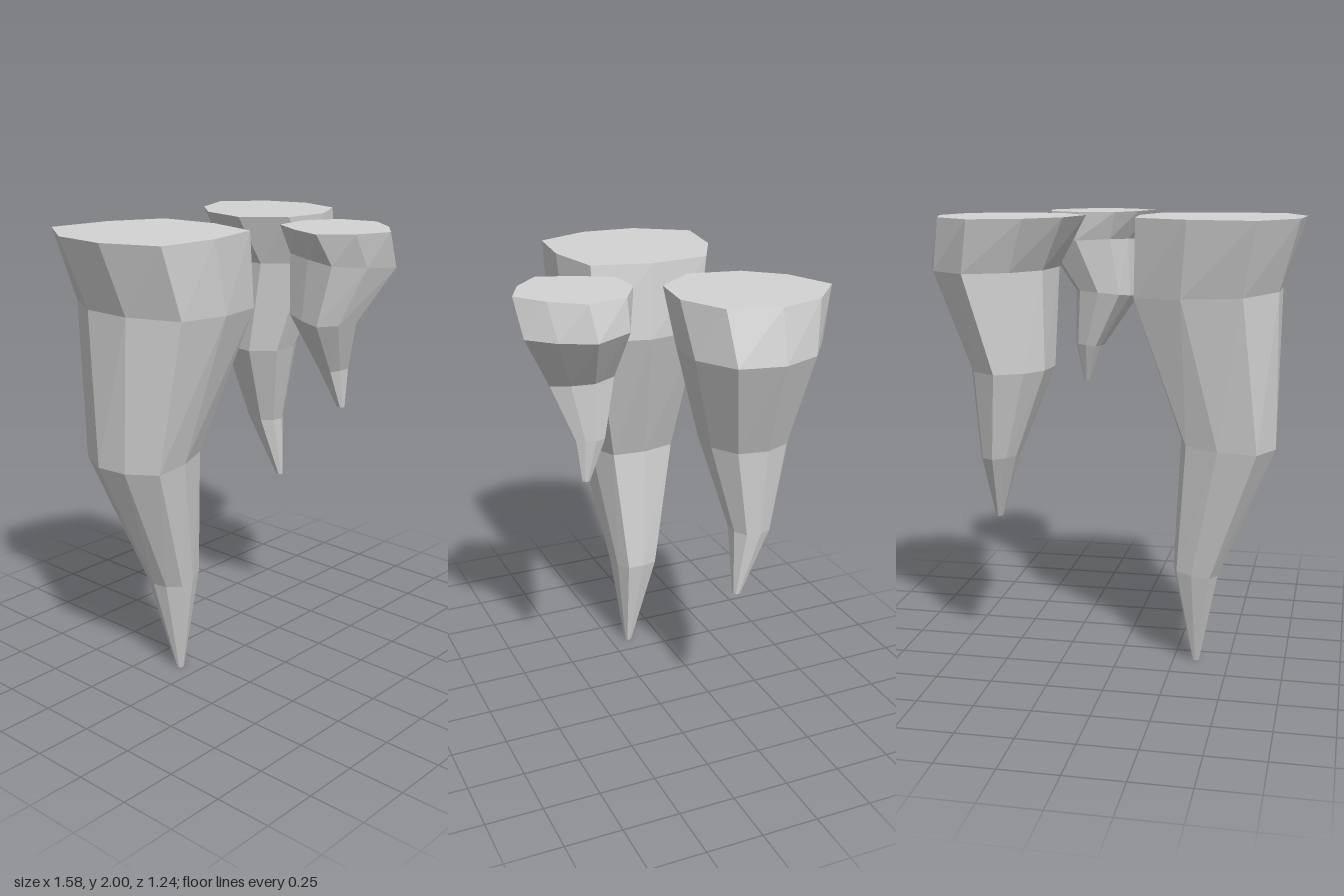
import * as THREE from 'three';

const stone = new THREE.MeshStandardMaterial({ color: 0xd3d3d3 });
stone.name = 'greyStone';
stone.flatShading = true;

// Faceted spike: the outline at the top is repeated downwards, each ring being
// [height, centre x, centre z, scale, twist, tilt along x, tilt along z]
function makeSpike(name, [cx, cz], outline, rings) {
  const n = outline.length;
  const levels = rings.map(([y, rx, rz, scale, twist = 0, tiltX = 0, tiltZ = 0]) => {
    const c = Math.cos(twist) * scale, s = Math.sin(twist) * scale;
    return outline.map(([x, z]) => {
      const dx = (x - cx) * c + (z - cz) * s;
      const dz = (z - cz) * c - (x - cx) * s;
      return [rx + dx, y + dx * tiltX + dz * tiltZ, rz + dz];
    });
  });
  const points = [];
  const tri = (...corners) => corners.forEach((p) => points.push(...p));
  const first = rings[0], last = rings[rings.length - 1];
  const top = [first[1], first[0], first[2]], tip = [last[1], last[0], last[2]];
  const end = levels[levels.length - 1];
  for (let k = 0; k < n; k++) {
    const m = (k + 1) % n;
    // Side facets
    for (let i = 0; i < levels.length - 1; i++) {
      const a = levels[i], b = levels[i + 1];
      tri(a[k], a[m], b[m]);
      tri(a[k], b[m], b[k]);
    }
    // Flat top and blunt tip
    tri(top, levels[0][m], levels[0][k]);
    tri(tip, end[k], end[m]);
  }
  const geometry = new THREE.BufferGeometry();
  geometry.setAttribute('position', new THREE.Float32BufferAttribute(points, 3));
  geometry.computeVertexNormals();
  const mesh = new THREE.Mesh(geometry, stone);
  mesh.name = name;
  return mesh;
}

export function createModel() {
  const group = new THREE.Group();
  group.name = 'stalactites';

  group.add(makeSpike('largeStalactite', [-0.44, -0.157], [
    [-0.62, -0.53], [-0.34, -0.49], [-0.115, -0.37], [-0.085, -0.1], [-0.15, 0.16],
    [-0.42, 0.217], [-0.69, 0.19], [-0.79, -0.05], [-0.775, -0.3],
  ], [
    [2, -0.44, -0.157, 1],
    [1.685, -0.385, -0.125, 0.9, 0.05, -0.05],
    [1.04, -0.49, -0.155, 0.58, 0.15, 0.05],
    [0.445, -0.35, -0.127, 0.28, 0.2, 0.15],
    [0, -0.35, -0.09, 0.042, 0.2],
  ]));

  group.add(makeSpike('mediumStalactite', [0.44, -0.29], [
    [0.31, -0.535], [0.515, -0.62], [0.685, -0.47], [0.745, -0.27], [0.685, -0.06],
    [0.49, 0.04], [0.275, 0.015], [0.135, -0.16], [0.18, -0.385],
  ], [
    [2, 0.44, -0.29, 1],
    [1.78, 0.517, -0.27, 0.88, 0.08],
    [1.36, 0.432, -0.303, 0.58, 0.1],
    [0.975, 0.49, -0.307, 0.28, 0.12, -0.05],
    [0.68, 0.522, -0.235, 0.055, 0.12],
  ]));

  group.add(makeSpike('smallStalactite', [0.18, 0.37], [
    [0.07, 0.135], [0.235, 0.125], [0.38, 0.212], [0.42, 0.385], [0.32, 0.52],
    [0.195, 0.617], [0.05, 0.55], [-0.065, 0.437], [-0.01, 0.28],
  ], [
    [2, 0.18, 0.37, 1],
    [1.86, 0.228, 0.373, 0.93, 0.12, -0.05, -0.06],
    [1.62, 0.148, 0.327, 0.59, 0.15, 0.08, -0.1],
    [1.38, 0.227, 0.32, 0.27, 0.15, 0.1],
    [1.2, 0.248, 0.347, 0.07, 0.15],
  ]));

  return group;
}
